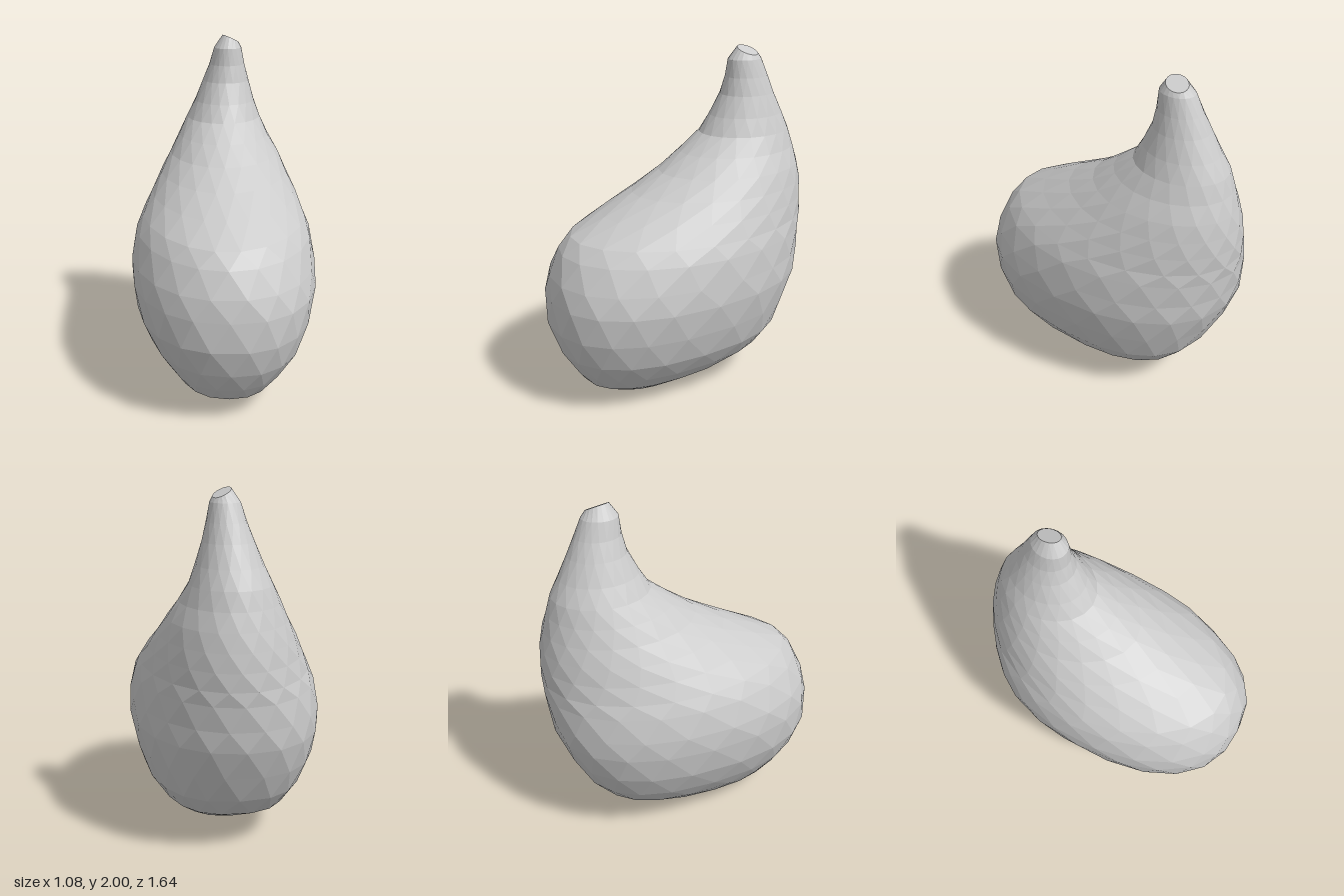
import * as THREE from 'three';

// Cross-sections from bottom to top: [y, left x, right x, front z, back z]
const SECTIONS = [
  [0.02, 0.11, -0.11, 0.35, 0.02],
  [0.05, 0.20, -0.20, 0.50, -0.09],
  [0.12, 0.30, -0.28, 0.63, -0.35],
  [0.21, 0.38, -0.36, 0.70, -0.53],
  [0.33, 0.46, -0.44, 0.77, -0.63],
  [0.49, 0.51, -0.51, 0.82, -0.71],
  [0.66, 0.54, -0.54, 0.82, -0.78],
  [0.78, 0.535, -0.54, 0.80, -0.80],
  [0.92, 0.515, -0.51, 0.74, -0.815],
  [1.00, 0.485, -0.475, 0.67, -0.82],
  [1.10, 0.44, -0.425, 0.48, -0.82],
  [1.20, 0.39, -0.375, 0.28, -0.81],
  [1.30, 0.34, -0.32, 0.10, -0.79],
  [1.40, 0.28, -0.27, -0.04, -0.76],
  [1.50, 0.23, -0.22, -0.17, -0.73],
  [1.60, 0.195, -0.17, -0.23, -0.68],
  [1.72, 0.16, -0.12, -0.29, -0.62],
  [1.82, 0.135, -0.08, -0.315, -0.575],
  [1.92, 0.115, -0.05, -0.325, -0.53],
  [1.97, 0.10, 0.00, -0.37, -0.50],
];
const SIDES = 20;
const { lerp, smoothstep } = THREE.MathUtils;

function gourdGeometry() {
  const positions = [0, 0, 0.16];
  const index = [];
  const last = SECTIONS.length - 1;
  SECTIONS.forEach(([y, left, right, front, back], r) => {
    const cx = (left + right) / 2, cz = (front + back) / 2;
    const rx = (left - right) / 2, rz = (front - back) / 2;
    // blunt low on the belly, slimmer along the sloping front, round at the neck
    const frontPower = lerp(0.87, 1.08, smoothstep(y, 0.6, 1.1)) - 0.08 * smoothstep(y, 1.2, 1.6);
    const backPower = lerp(0.78, 1, smoothstep(y, 0.1, 1.1));
    // the belly points slightly to its left
    const lean = 0.05 * (1 - smoothstep(y, 0.6, 1.5));
    for (let i = 0; i < SIDES; i++) {
      const a = ((i + (r % 2) / 2) / SIDES) * Math.PI * 2;
      const s = Math.sin(a), c = Math.cos(a);
      const power = c > 0 ? frontPower : backPower;
      const dx = rx * Math.sign(s) * Math.abs(s) ** power;
      const dz = rz * Math.sign(c) * Math.abs(c) ** power;
      // the cut at the tip leans down to the left and back
      const tilt = r === last ? -0.45 * dx + 0.2 * dz : 0;
      positions.push(cx + dx + lean * dz, y + tilt, cz + dz);
    }
  });
  const top = positions.length / 3;
  positions.push(0.05, 1.97, -0.435);

  const at = (r, i) => 1 + r * SIDES + (i % SIDES);
  for (let i = 0; i < SIDES; i++) {
    index.push(0, at(0, i + 1), at(0, i));
    index.push(top, at(last, i), at(last, i + 1));
    // staggered rings joined by alternating triangles
    for (let r = 0; r < last; r++) {
      const a = at(r, i), b = at(r, i + 1), c = at(r + 1, i), d = at(r + 1, i + 1);
      if (r % 2 === 0) index.push(a, b, c, b, d, c);
      else index.push(a, b, d, a, d, c);
    }
  }
  const geometry = new THREE.BufferGeometry();
  geometry.setAttribute('position', new THREE.Float32BufferAttribute(positions, 3));
  geometry.setIndex(index);
  geometry.computeVertexNormals();
  return geometry;
}

export function createModel() {
  const group = new THREE.Group();
  group.name = 'gourd';
  const material = new THREE.MeshStandardMaterial({ color: 0xcccccc, flatShading: true });
  const body = new THREE.Mesh(gourdGeometry(), material);
  body.name = 'gourdBody';
  group.add(body);
  return group;
}
